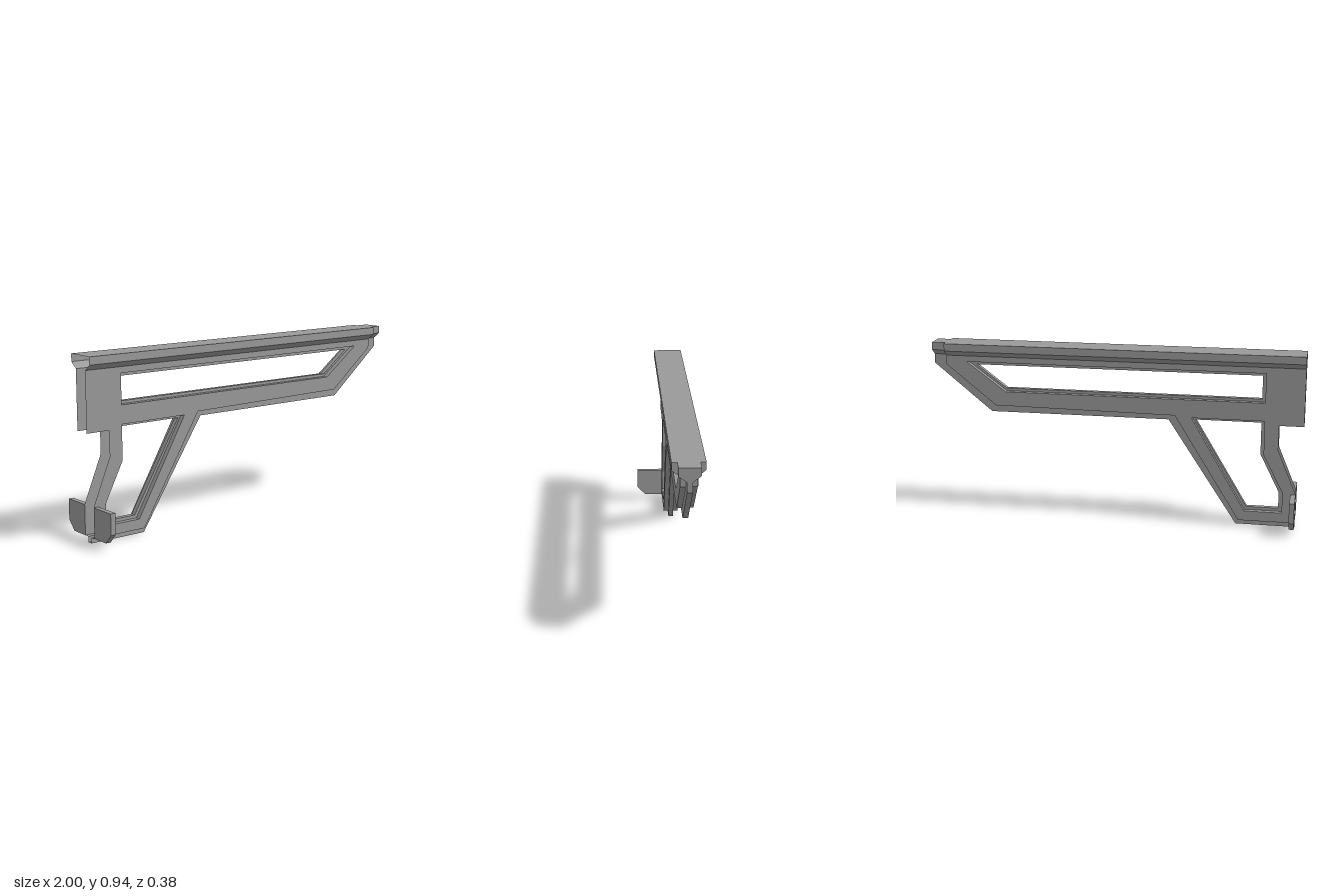
import * as THREE from 'three';

const material = new THREE.MeshStandardMaterial({ color: 0x999999, flatShading: true, side: THREE.DoubleSide });
const SIDE = 0.041; // half thickness of the body
const RIB = 0.0135; // half thickness of the central rib
const points = (list) => list.map(([x, y]) => new THREE.Vector2(x, y));
const mirrored = (half) => [...half, ...half.map(([z, y]) => [-z, y]).reverse()];

// Surface joining successive rows of [x, y, z] points
function loft(rows) {
  const positions = [];
  for (let r = 0; r < rows.length - 1; r++) {
    for (let i = 0; i < rows[r].length - 1; i++) {
      const a = rows[r][i], b = rows[r][i + 1], c = rows[r + 1][i + 1], d = rows[r + 1][i];
      positions.push(...a, ...b, ...c, ...a, ...c, ...d);
    }
  }
  const geometry = new THREE.BufferGeometry();
  geometry.setAttribute('position', new THREE.Float32BufferAttribute(positions, 3));
  geometry.computeVertexNormals();
  return geometry;
}

// Stepped edge: in from one side, out to the rib, across it and back
function steppedEdge(body, rib) {
  const row = (path, z) => path.map(([x, y]) => [x, y, z]);
  return loft([row(body, -SIDE), row(body, -RIB), row(rib, -RIB), row(rib, RIB), row(body, RIB), row(body, SIDE)]);
}

// Open sheet with a (z, y) cross-section running along x
function sheet(section, x0, x1) {
  return loft([x1, x0].map((x) => section.map(([z, y]) => [x, y, z])));
}

// Solid with a (z, y) cross-section running along x
function prism(section, x0, x1) {
  return new THREE.ExtrudeGeometry(new THREE.Shape(points(section)), { depth: x1 - x0, bevelEnabled: false })
    .rotateY(Math.PI / 2).translate(x0, 0, 0);
}

export function createModel() {
  const group = new THREE.Group();
  const add = (name, geometry) => {
    const mesh = new THREE.Mesh(geometry, material);
    mesh.name = name;
    group.add(mesh);
    return mesh;
  };

  // Edge running from the foot, up the grip and along to the rail tip
  const lowerBody = [[-0.97, 0.03], [-0.67, 0.03], [-0.322, 0.592], [0.655, 0.603], [0.925, 0.82], [0.925, 0.87]];
  const lowerRib = [[-0.97, 0], [-0.655, 0], [-0.285, 0.562], [0.685, 0.562], [1, 0.82], [1, 0.87]];

  // Windows as [body edge, rib edge]
  const windows = {
    upperWindow: [
      [[-0.795, 0.838], [0.812, 0.838], [0.598, 0.68], [-0.795, 0.68]],
      [[-0.777, 0.82], [0.765, 0.82], [0.6, 0.695], [-0.777, 0.695]],
    ],
    gripWindow: [
      [[-0.795, 0.583], [-0.41, 0.583], [-0.7, 0.083], [-0.9, 0.083], [-0.9, 0.195], [-0.795, 0.4]],
      [[-0.777, 0.568], [-0.43, 0.568], [-0.71, 0.1], [-0.88, 0.1], [-0.88, 0.19], [-0.777, 0.395]],
    ],
  };

  // Two side walls, left open along the back
  const wall = new THREE.Shape(points([
    ...lowerBody, [-1, 0.87], [-1, 0.562], [-0.87, 0.562], [-0.87, 0.43], [-0.97, 0.19],
  ]));
  for (const [body] of Object.values(windows)) wall.holes.push(new THREE.Path(points(body)));
  add('leftOrFrontWall', new THREE.ShapeGeometry(wall).translate(0, 0, SIDE)).name = 'frontWall';
  add('rearWall', new THREE.ShapeGeometry(wall).rotateY(Math.PI).scale(-1, 1, 1).translate(0, 0, -SIDE));

  // Stepped edges between the walls
  add('lowerEdge', steppedEdge(lowerBody, lowerRib));
  for (const [name, [body, rib]] of Object.entries(windows)) {
    add(name, steppedEdge([...body, body[0]], [...rib, rib[0]]));
  }

  // Flared top rail, open at the back and closed at the front
  const rail = mirrored([[SIDE, 0.87], [0.08, 0.9], [0.08, 0.94]]);
  add('topRail', sheet(rail, -1, 0.925));
  add('railEnd', new THREE.ShapeGeometry(new THREE.Shape(points(rail))).rotateY(Math.PI / 2).translate(0.925, 0, 0));

  // Narrower rail tip
  add('railTip', prism(mirrored([[RIB, 0.87], [0.053, 0.9], [0.053, 0.94]]), 0.925, 1));

  // Pair of fins beside the foot of the grip
  const fin = [[SIDE, 0.03], [0.143, 0.03], [0.19, 0.08], [0.19, 0.188], [SIDE, 0.188]];
  add('rightFin', prism(fin, -0.97, -0.943));
  add('leftFin', prism(fin.map(([z, y]) => [-z, y]), -0.97, -0.943));

  return group;
}
